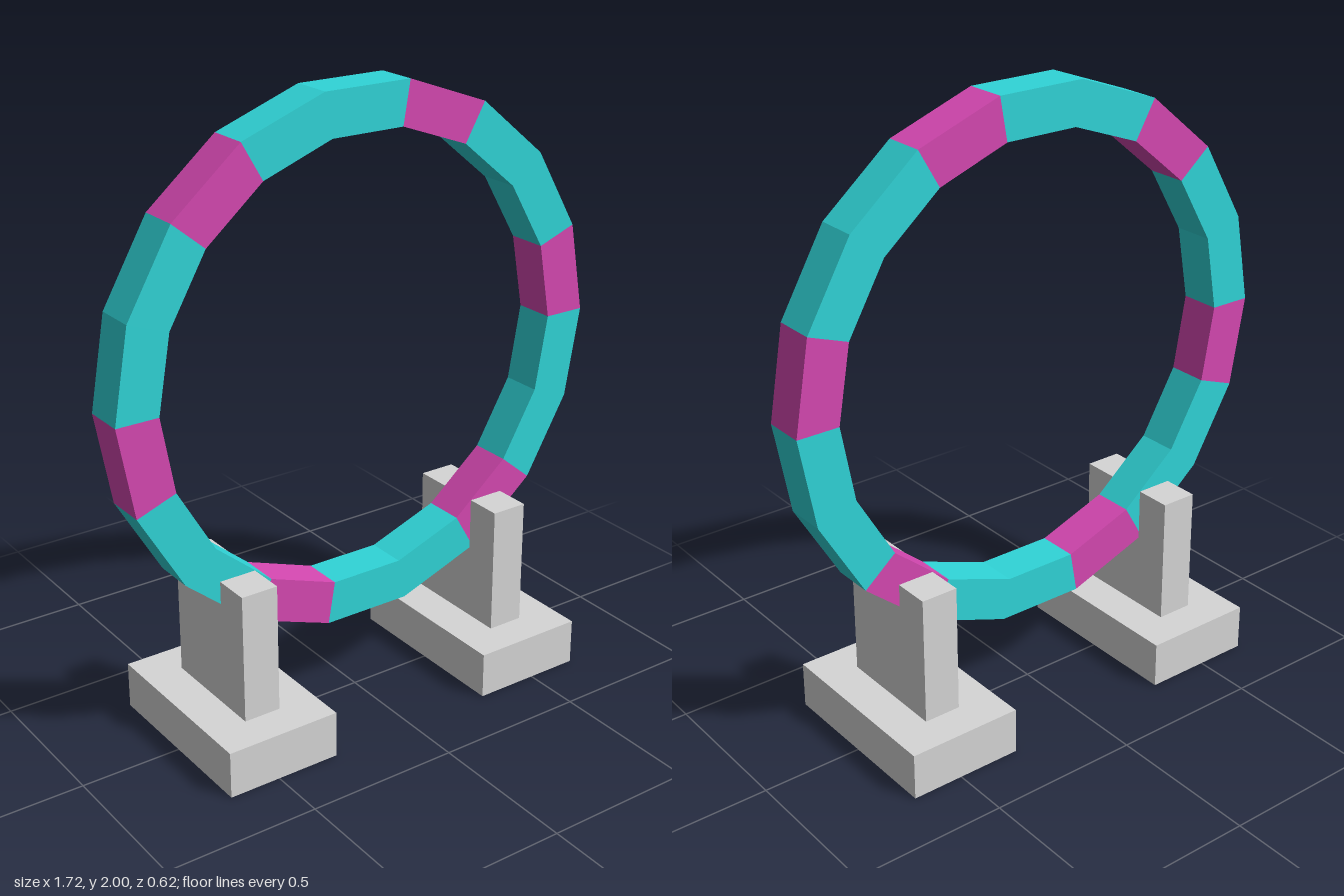
import * as THREE from 'three';

export function createModel() {
  const model = new THREE.Group();
  model.name = 'ringOnStands';

  const paint = (name, color) => {
    const m = new THREE.MeshStandardMaterial({ color, flatShading: true });
    m.name = name;
    return m;
  };
  const cyan = paint('cyan', 0x30d5d8);
  const magenta = paint('magenta', 0xd648b2);
  const grey = paint('grey', 0xd6d6d6);

  // Ring: 18 straight-sided sections of square cross-section, every third one magenta
  const ring = new THREE.Group();
  ring.name = 'ring';
  ring.position.y = 1.153;
  model.add(ring);

  const inner = 0.72, outer = 0.86, half = 0.068;
  const profile = [
    [inner, -half], [outer, -half], [outer, half], [inner, half], [inner, -half],
  ].map(([r, y]) => new THREE.Vector2(r, y));
  const step = Math.PI / 9;

  const addArc = (name, first, count, material) => {
    // Lathe angles run clockwise from the top once the ring is stood upright
    const start = Math.PI / 2 - (first + count) * step;
    const geometry = new THREE.LatheGeometry(profile, count, start, count * step);
    geometry.rotateX(-Math.PI / 2);
    const mesh = new THREE.Mesh(geometry, material);
    mesh.name = name;
    ring.add(mesh);
  };
  for (let i = 0; i < 18; i += 3) {
    addArc('magentaSection', i, 1, magenta);
    addArc('cyanSection', i + 1, 2, cyan);
  }

  // Stands: a wide foot and an upright post on each side
  const addBox = (parent, name, w, y0, y1, d) => {
    const mesh = new THREE.Mesh(new THREE.BoxGeometry(w, y1 - y0, d), grey);
    mesh.name = name;
    mesh.position.y = (y0 + y1) / 2;
    parent.add(mesh);
  };
  for (const side of [-1, 1]) {
    const stand = new THREE.Group();
    stand.name = side > 0 ? 'leftStand' : 'rightStand';
    stand.position.x = side * 0.48;
    addBox(stand, 'foot', 0.38, 0, 0.153, 0.62);
    addBox(stand, 'post', 0.123, 0.153, 0.577, 0.38);
    model.add(stand);
  }

  return model;
}
